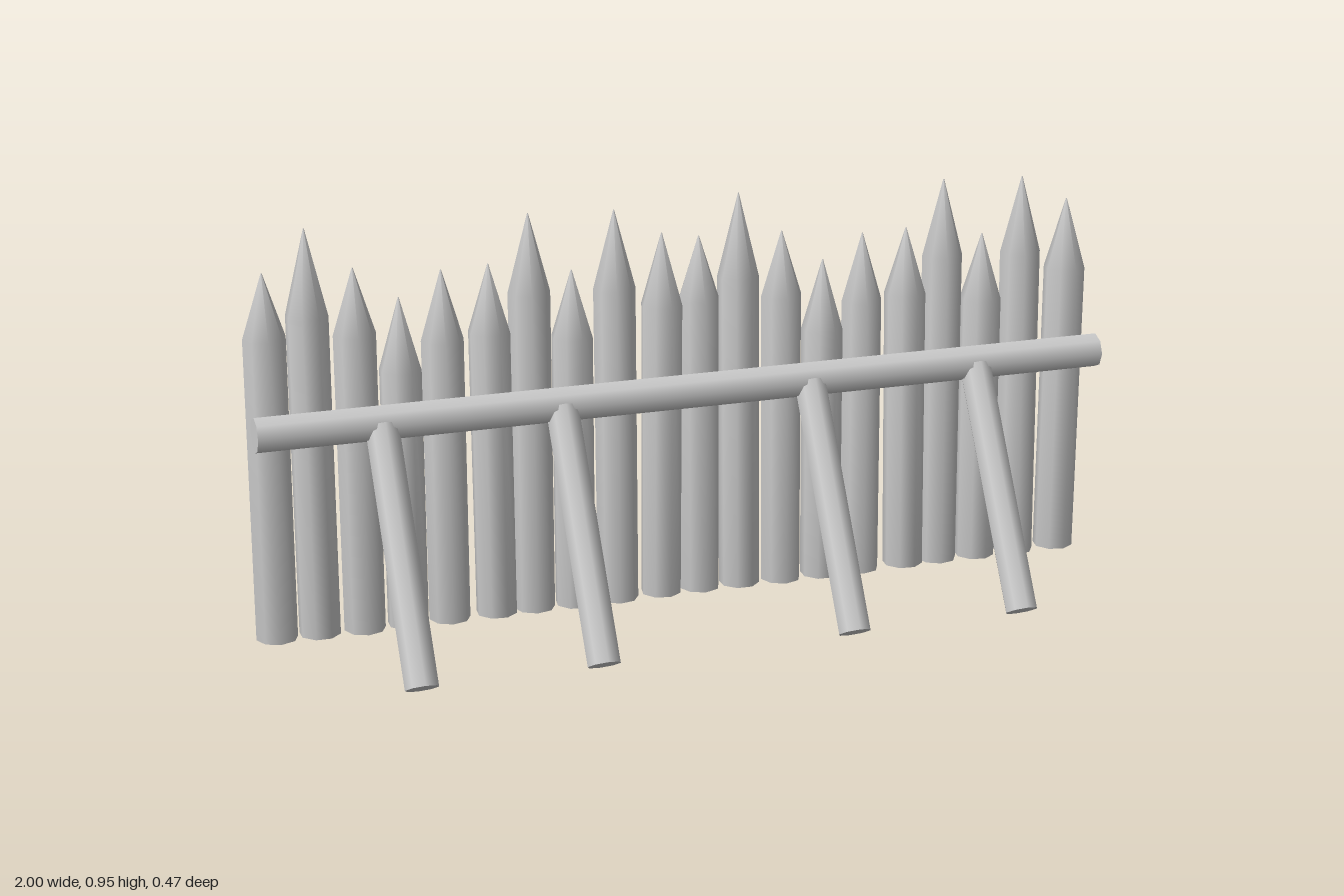
import * as THREE from 'three';

const wood = new THREE.MeshStandardMaterial({ color: 0xcccccc });
wood.name = 'pale grey wood';

// One run of stakes: [centre x, tip height, shoulder height, z at shoulder, z at foot, foot height]
const STAKES = [
  [-0.952, 0.865, 0.72, -0.185, -0.180, 0.027],
  [-0.855, 0.955, 0.76, -0.190, -0.178, 0.027],
  [-0.752, 0.860, 0.71, -0.185, -0.178, 0.025],
  [-0.652, 0.785, 0.62, -0.183, -0.178, 0.025],
  [-0.556, 0.840, 0.68, -0.180, -0.175, 0.027],
  [-0.450, 0.845, 0.69, -0.175, -0.160, 0.033],
  [-0.355, 0.950, 0.77, -0.182, -0.178, 0.027],
  [-0.258, 0.815, 0.66, -0.176, -0.175, 0.027],
  [-0.154, 0.940, 0.76, -0.188, -0.180, 0.025],
  [-0.050, 0.885, 0.72, -0.164, -0.178, 0.027],
];

// Sharpened stake, leaning slightly along z from foot to shoulder
function makeStake([x, tip, shoulder, zTop, zFoot, foot], offset, turn) {
  const r = 0.047;
  const profile = [[0, foot], [r, foot], [r * 1.02, shoulder], [0.001, tip]]
    .map(([a, b]) => new THREE.Vector2(a, b));
  const geo = new THREE.LatheGeometry(profile, 8, turn);
  const pos = geo.attributes.position;
  for (let i = 0; i < pos.count; i++) {
    const t = Math.min(1, (pos.getY(i) - foot) / (shoulder - foot));
    pos.setZ(i, pos.getZ(i) + THREE.MathUtils.lerp(zFoot, zTop, t));
  }
  const stake = new THREE.Mesh(geo, wood);
  stake.position.x = x + offset;
  return stake;
}

// Round log between two points
function makeLog(name, from, to, r) {
  const a = new THREE.Vector3(...from), b = new THREE.Vector3(...to);
  const dir = b.clone().sub(a);
  const log = new THREE.Mesh(new THREE.CylinderGeometry(r, r, dir.length(), 8), wood);
  log.name = name;
  log.position.copy(a).add(b).multiplyScalar(0.5);
  log.quaternion.setFromUnitVectors(new THREE.Vector3(0, 1, 0), dir.normalize());
  return log;
}

export function createModel() {
  const model = new THREE.Group();
  model.name = 'palisade';

  // Two matching halves, each with ten stakes, a rail and two props
  [0, 0.997].forEach((offset, half) => {
    const section = new THREE.Group();
    section.name = half ? 'leftSection' : 'rightSection';
    STAKES.forEach((spec, i) => {
      const stake = makeStake(spec, offset, i * 0.37);
      stake.name = 'stake' + (i + 1);
      section.add(stake);
    });
    section.add(makeLog('rail', [half - 1, 0.53, -0.095], [half, 0.53, -0.095], 0.04));
    for (const x of [-0.72, -0.31]) {
      section.add(makeLog('prop', [x + half, 0.021, 0.204], [x + half, 0.525, -0.087], 0.038));
    }
    model.add(section);
  });
  return model;
}
